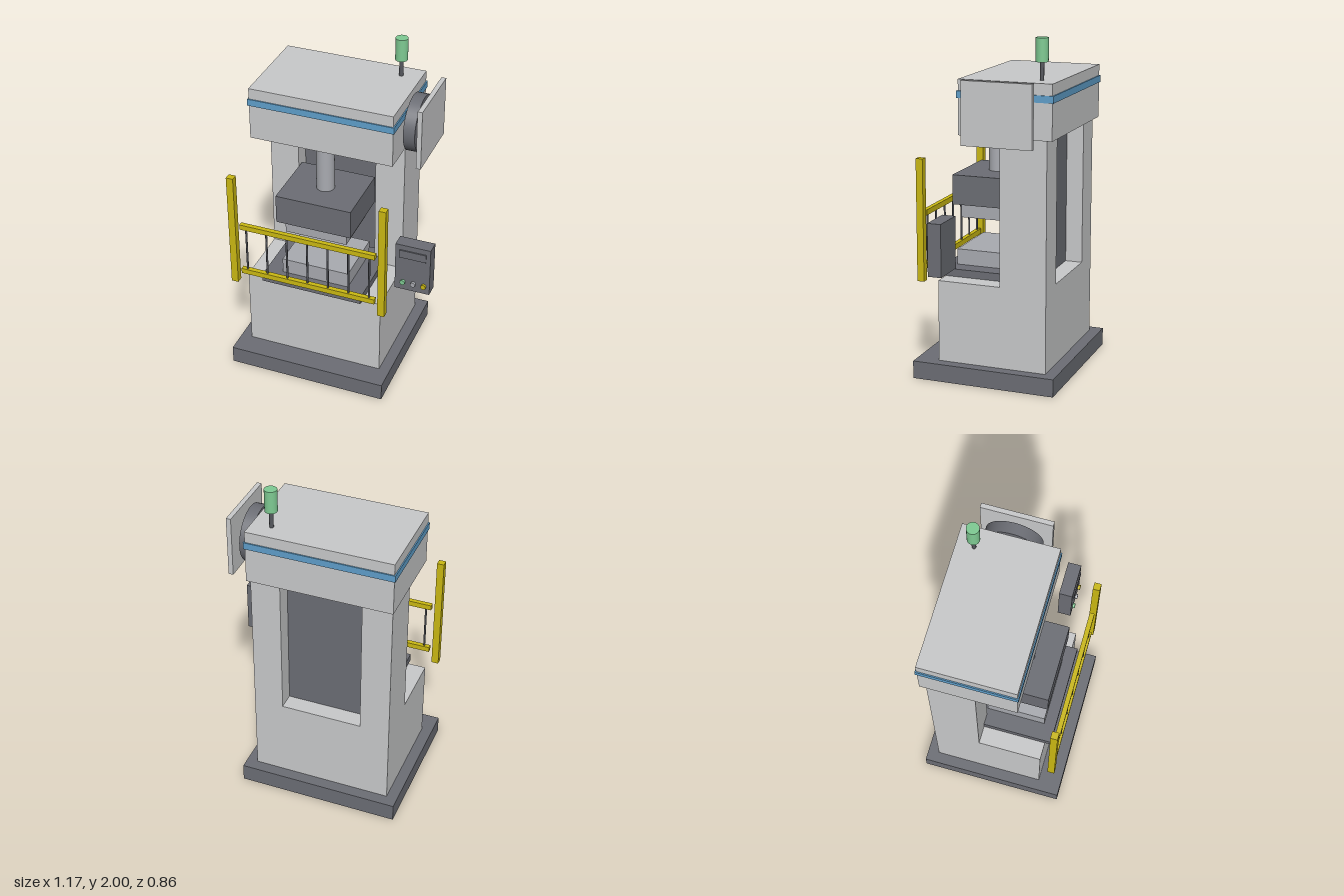
import * as THREE from 'three';

const mat = (name, color) => {
  const m = new THREE.MeshStandardMaterial({ color });
  m.name = name;
  return m;
};

export function createModel() {
  const light = mat('lightGrey', 0xc9cacb);
  const dark = mat('darkGrey', 0x6c6e75);
  const steel = mat('steel', 0xa9abb1);
  const blue = mat('blue', 0x5f9fcb);
  const yellow = mat('yellow', 0xcbb912);
  const green = mat('green', 0x7fcb93);
  const shaft = mat('shaftGrey', 0x55575d);

  const model = new THREE.Group();
  model.name = 'press';

  const add = (name, geometry, material) => {
    const mesh = new THREE.Mesh(geometry, material);
    mesh.name = name;
    model.add(mesh);
    return mesh;
  };
  // Box given by its extents along each axis
  const box = (name, material, [x0, x1], [y0, y1], [z0, z1]) =>
    add(name, new THREE.BoxGeometry(x1 - x0, y1 - y0, z1 - z0), material)
      .position.set((x0 + x1) / 2, (y0 + y1) / 2, (z0 + z1) / 2);
  // Cylinder along an axis, given by its centre
  const rod = (name, material, r, length, [x, y, z], axis = 'y', sides = 32) => {
    const g = new THREE.CylinderGeometry(r, r, length, sides);
    if (axis === 'x') g.rotateZ(-Math.PI / 2);
    if (axis === 'z') g.rotateX(Math.PI / 2);
    add(name, g, material).position.set(x, y, z);
  };

  // Base and C-shaped frame with an open window
  box('basePlate', dark, [-0.585, 0.375], [0, 0.105], [-0.43, 0.43]);
  box('lowerBody', light, [-0.52, 0.31], [0.105, 0.59], [-0.362, 0.293]);
  box('rightPillar', light, [-0.52, -0.345], [0.59, 1.45], [-0.362, -0.085]);
  box('leftPillar', light, [0.135, 0.31], [0.59, 1.45], [-0.362, -0.085]);
  box('windowPanel', dark, [-0.345, 0.135], [0.59, 1.45], [-0.26, -0.19]);

  // Head with its stripe
  box('head', light, [-0.533, 0.32], [1.45, 1.765], [-0.395, 0.157]);
  box('headStripe', blue, [-0.54, 0.327], [1.66, 1.7], [-0.402, 0.164]);

  // Ram, dies and table, all centred on the press axis
  const cx = -0.106, cz = 0.085;
  const block = (name, material, w, y, d) =>
    box(name, material, [cx - w / 2, cx + w / 2], y, [cz - d / 2, cz + d / 2]);
  rod('ramRod', steel, 0.053, 0.275, [cx, 1.3125, cz]);
  block('ram', dark, 0.455, [1.0, 1.175], 0.39);
  block('upperDie', steel, 0.375, [0.917, 1.0], 0.31);
  block('lowerDie', steel, 0.41, [0.635, 0.728], 0.35);
  block('table', dark, 0.615, [0.59, 0.635], 0.488);

  // Flywheel and its guard plate
  rod('flywheelHub', shaft, 0.022, 0.09, [0.365, 1.59, -0.124], 'x', 16);
  rod('flywheel', dark, 0.165, 0.068, [0.37, 1.59, -0.124], 'x', 48);
  box('flywheelGuard', light, [0.43, 0.458], [1.42, 1.78], [-0.328, 0.084]);

  // Signal lamp
  rod('lampPole', shaft, 0.012, 0.105, [0.204, 1.8175, -0.294], 'y', 16);
  rod('lamp', green, 0.036, 0.133, [0.204, 1.9335, -0.294]);

  // Safety gate
  for (const [name, x] of [['rightPost', -0.56], ['leftPost', 0.35]])
    box(name, yellow, [x - 0.021, x + 0.021], [0.593, 1.31], [0.355, 0.396]);
  for (const [name, y] of [['lowerRail', 0.676], ['upperRail', 0.985]])
    box(name, yellow, [-0.517, 0.307], [y - 0.016, y + 0.016], [0.36, 0.388]);
  for (let i = 0; i < 7; i++)
    rod('gateBar', shaft, 0.006, 0.28, [-0.482 + i * 0.1255, 0.83, 0.374], 'y', 10);

  // Control box with display and buttons
  box('controlBox', dark, [0.375, 0.583], [0.695, 1.0], [0.155, 0.235]);
  box('display', dark, [0.4, 0.558], [0.917, 0.967], [0.235, 0.242]);
  [green, steel, yellow].forEach((m, i) =>
    rod('button', m, 0.015, 0.014, [0.424 + i * 0.0625, 0.748, 0.242], 'z', 12));

  return model;
}
